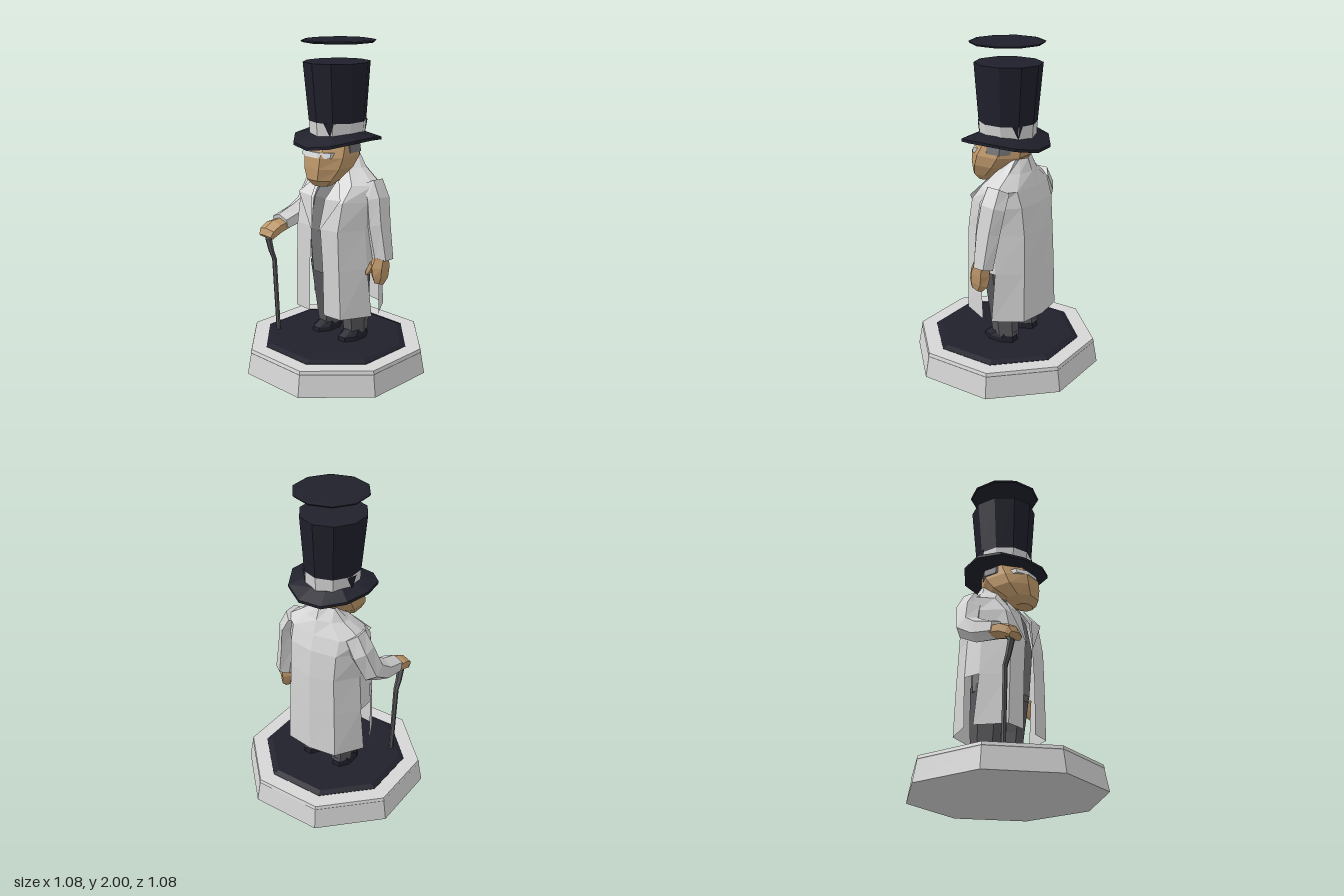
import * as THREE from 'three';

const V = (x, y, z) => new THREE.Vector3(x, y, z);
const material = (name, color) => {
  const m = new THREE.MeshStandardMaterial({ color, side: THREE.DoubleSide });
  m.name = name;
  return m;
};

// Faceted geometry from a list of triangles' corners
function facets(points) {
  const g = new THREE.BufferGeometry().setFromPoints(points);
  g.computeVertexNormals();
  return g;
}

// Skin a list of point rings; skip(i, j) leaves a quad open
function loft(rings, { closed = true, caps = true, skip = () => false } = {}) {
  const out = [], n = rings[0].length;
  for (let i = 0; i < rings.length - 1; i++)
    for (let j = 0; j < (closed ? n : n - 1); j++) {
      if (skip(i, j)) continue;
      const k = (j + 1) % n;
      const a = rings[i][j], b = rings[i][k], c = rings[i + 1][k], d = rings[i + 1][j];
      out.push(a, b, c, a, c, d);
    }
  if (caps) [rings[0], rings.at(-1)].forEach((r, end) => {
    const mid = r.reduce((s, p) => s.add(p), V(0, 0, 0)).divideScalar(n);
    r.forEach((p, j) => {
      const q = r[(j + 1) % n];
      out.push(mid, ...(end ? [p, q] : [q, p]));
    });
  });
  return facets(out);
}

// Level rings: [y, centre x, centre z, radius x, radius z]
function stack(rows, sides, turn = Math.PI / sides, bend = () => 0) {
  return loft(rows.map(([y, cx, cz, rx, rz = rx]) => Array.from({ length: sides }, (_, j) => {
    const a = turn + j / sides * Math.PI * 2;
    const p = V(cx + Math.cos(a) * rx, y, cz - Math.sin(a) * rz);
    p.y += bend(p);
    return p;
  })));
}

// Limb following a path: [x, y, z, half width, half depth]
function limb(rows, sides = 6) {
  const pts = rows.map(r => V(r[0], r[1], r[2]));
  return loft(rows.map((r, i) => {
    const d = pts[Math.min(i + 1, pts.length - 1)].clone().sub(pts[Math.max(i - 1, 0)]).normalize();
    const u = V(1, 0, 0).addScaledVector(d, -d.x).normalize();
    const v = d.clone().cross(u);
    return Array.from({ length: sides }, (_, j) => {
      const a = (j + 0.5) / sides * Math.PI * 2;
      return pts[i].clone().addScaledVector(u, Math.cos(a) * r[3]).addScaledVector(v, Math.sin(a) * r[4]);
    });
  }));
}

export function createModel() {
  const group = new THREE.Group();
  const pale = material('pale cloth and stone', 0xd6d6d6);
  const dark = material('midnight', 0x20202c);
  const skin = material('skin', 0xbe986a);
  const grey = material('waistcoat grey', 0x757577);
  const trouser = material('trouser grey', 0x58585c);
  const add = (name, geometry, mat) => {
    const m = new THREE.Mesh(geometry, mat);
    m.name = name;
    group.add(m);
    return m;
  };

  // Octagonal plinth
  add('plinth', stack([[0, 0, 0, 0.584], [0.13, 0, 0, 0.56], [0.134, 0, 0, 0.562], [0.155, 0, 0, 0.556]], 8), pale);
  add('plinthInlay', stack([[0.15, 0, 0, 0.46], [0.157, 0, 0, 0.46], [0.17, 0, 0, 0.424]], 8), dark);

  // Legs and shoes
  for (const s of [-1, 1]) {
    add('leg', stack([[0.21, s * 0.108, -0.07, 0.068, 0.085], [0.4, s * 0.112, -0.06, 0.08, 0.1],
      [0.64, s * 0.105, -0.04, 0.1, 0.12]], 6, 0), trouser);
    add('shoe', stack([[0.165, s * 0.112, -0.04, 0.07, 0.115], [0.195, s * 0.112, -0.04, 0.068, 0.11],
      [0.235, s * 0.11, -0.075, 0.055, 0.075]], 8), dark);
  }

  // Waistcoat body
  add('waistcoat', stack([[0.6, 0, -0.04, 0.2, 0.17], [0.88, 0, -0.03, 0.2, 0.185],
    [1.07, 0, -0.04, 0.19, 0.155], [1.2, 0, -0.06, 0.11, 0.11], [1.26, 0, -0.04, 0.08, 0.08]], 8), grey);

  // Long open coat: [y, opening, front z, side x, back z, corner fraction]
  const coatRows = [
    [0.355, 0.06, 0.165, 0.28, -0.275], [0.66, 0.055, 0.168, 0.265, -0.268],
    [0.9, 0.035, 0.168, 0.25, -0.26], [1.07, 0.05, 0.135, 0.26, -0.245],
    [1.165, 0.07, 0.06, 0.265, -0.215], [1.25, 0.09, 0.0, 0.145, -0.185], [1.325, 0.06, -0.07, 0.085, -0.155]];
  const coatRings = coatRows.map(([y, xo, zf, xs, zb], i) => {
    const span = zf - zb, gap = i === 0 ? 0.07 : 0.12;
    const half = [[xo, zf], [xs * 0.68, zf - 0.01], [xs, zf - span * 0.5 + gap * span],
      [xs, zf - span * 0.5 - gap * span], [xs * 0.62, zb + 0.025], [0, zb]];
    return [...half.map(([x, z]) => V(x, y, z)),
      ...half.slice(0, -1).reverse().map(([x, z]) => V(-x, y, z))];
  });
  // Slits at the sides of the hem
  add('coat', loft(coatRings, { closed: false, caps: false, skip: (i, j) => i === 0 && (j === 2 || j === 7) }), pale);

  // Lapels folded onto the chest
  for (const s of [-1, 1]) {
    const a = V(s * 0.08, 1.2, 0.055), b = V(s * 0.175, 1.09, 0.14), c = V(s * 0.03, 0.88, 0.178), d = V(s * 0.055, 1.08, 0.148);
    add('lapel', facets(s > 0 ? [a, d, b, d, c, b] : [a, b, d, d, b, c]), pale);
  }

  // Right arm bent forward, left arm hanging
  add('rightSleeve', limb([[-0.2, 1.17, -0.09, 0.07, 0.08], [-0.255, 1.08, -0.09, 0.075, 0.085],
    [-0.3, 0.95, -0.05, 0.075, 0.08], [-0.312, 0.9, 0.04, 0.075, 0.07], [-0.315, 0.87, 0.17, 0.075, 0.055]]), pale);
  add('rightHand', limb([[-0.315, 0.86, 0.15, 0.066, 0.04], [-0.315, 0.85, 0.22, 0.074, 0.045],
    [-0.315, 0.825, 0.27, 0.07, 0.042], [-0.315, 0.8, 0.29, 0.06, 0.025]]), skin);
  add('leftSleeve', limb([[0.215, 1.17, -0.09, 0.06, 0.08], [0.265, 1.08, -0.085, 0.06, 0.09],
    [0.29, 0.93, -0.07, 0.062, 0.085], [0.33, 0.72, -0.065, 0.06, 0.068]]), pale);
  add('leftHand', limb([[0.33, 0.735, -0.05, 0.045, 0.055], [0.325, 0.68, -0.04, 0.055, 0.07],
    [0.335, 0.62, -0.035, 0.04, 0.065], [0.34, 0.58, -0.02, 0.02, 0.04]]), skin);
  add('leftThumb', limb([[0.305, 0.7, 0, 0.025, 0.025], [0.285, 0.655, 0.015, 0.018, 0.02], [0.28, 0.635, 0.02, 0.01, 0.01]], 5), skin);

  // Walking cane
  add('cane', limb([[-0.31, 0.165, 0.205, 0.014, 0.014], [-0.318, 0.64, 0.222, 0.017, 0.014],
    [-0.32, 0.7, 0.245, 0.02, 0.016], [-0.32, 0.78, 0.265, 0.024, 0.018], [-0.32, 0.82, 0.235, 0.024, 0.016]]), trouser);

  // Head with a jutting jaw
  add('head', stack([[1.16, 0.015, 0.13, 0.06, 0.05], [1.2, 0.01, 0.115, 0.11, 0.1], [1.27, 0.005, 0.065, 0.155, 0.155],
    [1.335, 0.005, 0.03, 0.165, 0.185], [1.42, 0, 0, 0.15, 0.16]], 8), skin);
  // Pale brow and grey side hair
  add('brow', stack([[1.335, 0, 0.14, 0.125, 0.07], [1.365, 0, 0.13, 0.125, 0.07]], 8), pale);
  for (const s of [-1, 1])
    add('sideHair', stack([[1.355, s * 0.105, -0.01, 0.058, 0.09], [1.4, s * 0.1, -0.01, 0.055, 0.09]], 6), grey);

  // Top hat: curled brim, band, tall crown and floating lid
  const curl = p => 0.05 * (p.x / 0.255) ** 2;
  add('hatBrim', stack([[1.39, 0, 0, 0.14], [1.383, 0.005, -0.005, 0.26, 0.268], [1.4, 0.005, -0.005, 0.26, 0.268],
    [1.45, 0, -0.01, 0.165, 0.17]], 11, 0.2, curl), dark);
  add('hatBand', stack([[1.42, 0, -0.015, 0.16, 0.168], [1.53, 0.002, -0.015, 0.168, 0.176]], 10), pale);
  add('hatCrown', stack([[1.53, 0.002, -0.015, 0.168, 0.176], [1.872, -0.004, -0.014, 0.195, 0.205]], 10), dark);
  add('hatLid', stack([[1.985, 0.01, -0.015, 0.215], [1.995, 0.01, -0.015, 0.222], [2, 0.01, -0.015, 0.2]], 10), dark);
  // Ragged notches over the band
  for (const angle of [0.5, 2.5, 4.4]) {
    const notch = add('bandNotch', facets([V(-0.035, 1.535, 0.175), V(0.005, 1.45, 0.17), V(0.03, 1.535, 0.175)]), dark);
    notch.rotation.y = angle;
    notch.position.z = -0.013;
  }
  return group;
}
